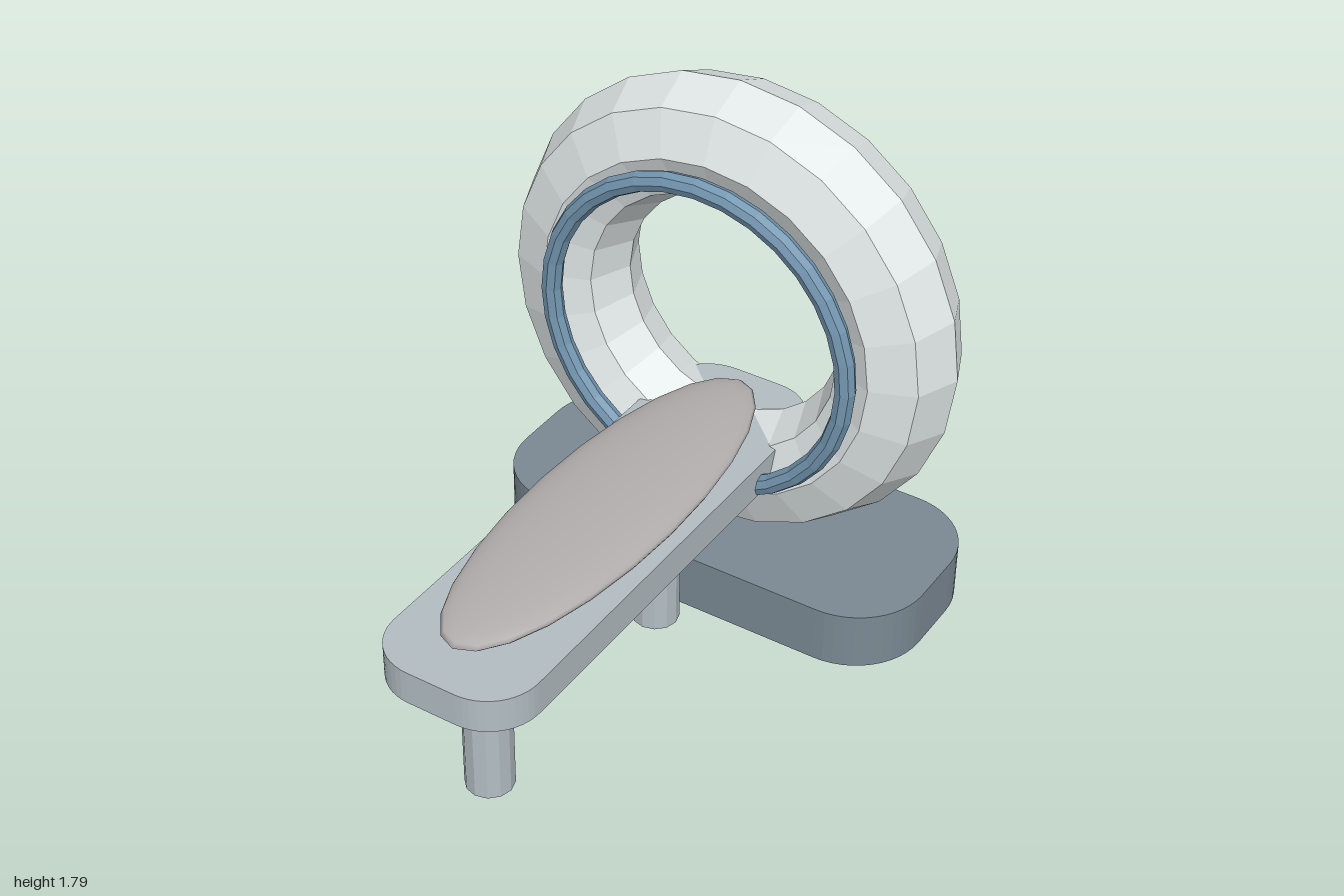
import * as THREE from 'three';

const mat = (color, flatShading = false) => new THREE.MeshStandardMaterial({ color, flatShading });

// Horizontal slab with rounded corners in plan, standing on y
function roundedSlab(name, width, depth, height, radius, y, z, material) {
  const x = width / 2, d = depth / 2, r = radius;
  const s = new THREE.Shape();
  s.moveTo(-x + r, -d);
  s.lineTo(x - r, -d);
  s.absarc(x - r, -d + r, r, -Math.PI / 2, 0);
  s.absarc(x - r, d - r, r, 0, Math.PI / 2);
  s.absarc(-x + r, d - r, r, Math.PI / 2, Math.PI);
  s.absarc(-x + r, -d + r, r, Math.PI, Math.PI * 1.5);
  const geo = new THREE.ExtrudeGeometry(s, { depth: height, bevelEnabled: false, curveSegments: 6 });
  geo.rotateX(-Math.PI / 2);
  const mesh = new THREE.Mesh(geo, material);
  mesh.name = name;
  mesh.position.set(0, y, z);
  return mesh;
}

export function createModel() {
  const model = new THREE.Group();
  model.name = 'ringScanner';
  const add = (name, geo, material, x, y, z) => {
    const mesh = new THREE.Mesh(geo, material);
    mesh.name = name;
    mesh.position.set(x, y, z);
    model.add(mesh);
    return mesh;
  };

  // Floor base under the ring
  model.add(roundedSlab('base', 1.54, 0.69, 0.2, 0.25, 0, -0.655, mat(0x7b8a94, true)));

  // Large faceted ring and the thin trim ring on its front
  add('gantryRing', new THREE.TorusGeometry(0.59, 0.2, 8, 24), mat(0xe0e6e6, true), 0, 1, -0.63);
  add('trimRing', new THREE.TorusGeometry(0.534, 0.034, 8, 32), mat(0x7396b0, true), 0, 1, -0.395);

  // Table running through the ring, with its cushion
  const tableMat = mat(0xb3bec3, true);
  model.add(roundedSlab('table', 0.51, 1.8, 0.115, 0.17, 0.5, 0.1, tableMat));
  const cushion = add('cushion', new THREE.SphereGeometry(1, 24, 16), mat(0xb2aead), 0, 0.665, 0.1);
  cushion.scale.set(0.24, 0.05, 0.79);

  // Two table posts
  for (const [name, z] of [['frontPost', 0.74], ['backPost', -0.185]]) {
    add(name, new THREE.CylinderGeometry(0.078, 0.078, 0.47, 12), tableMat, 0, 0.265, z);
  }
  return model;
}
